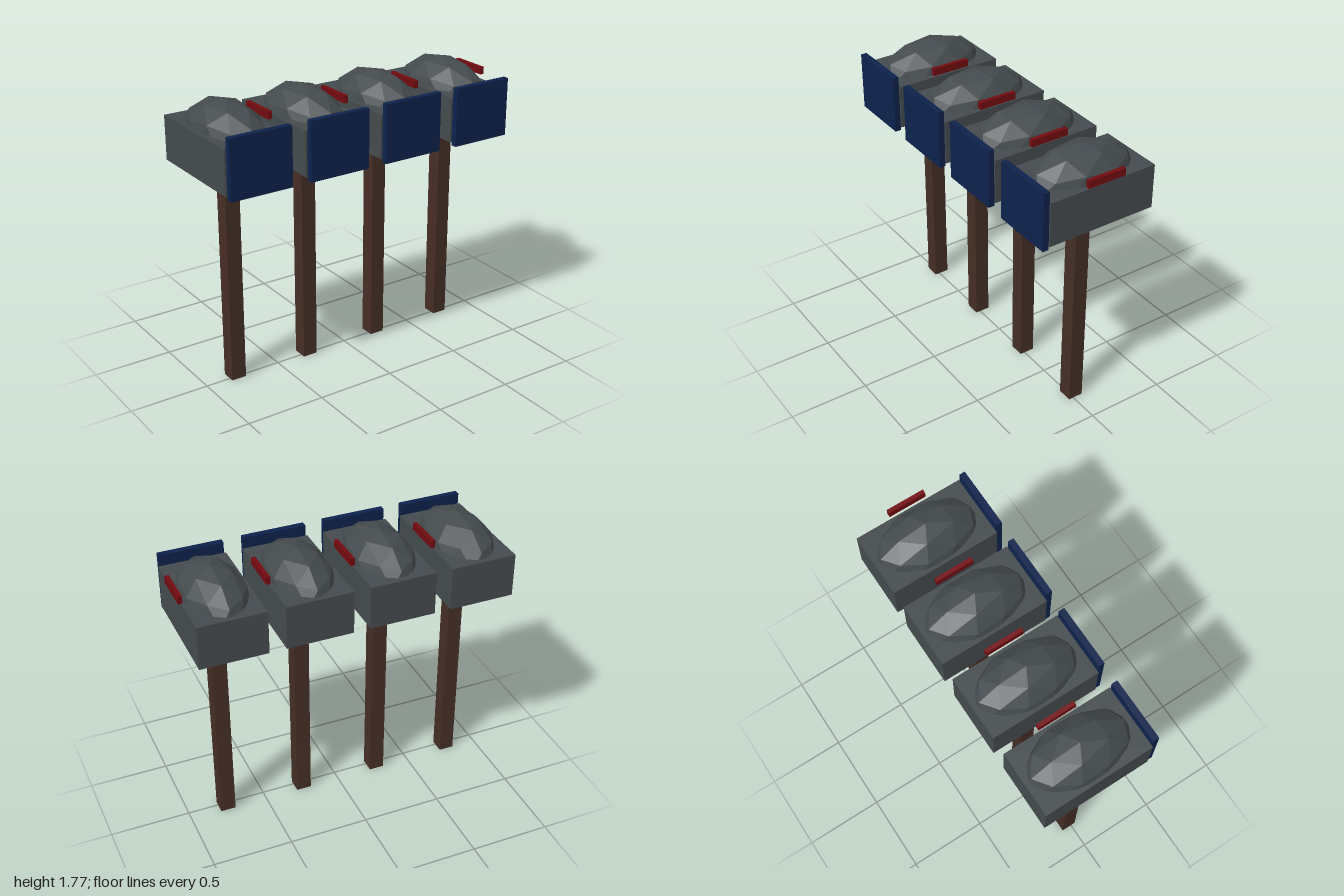
import * as THREE from 'three';

const SPACING = 0.517;
const material = (name, color) => {
  const m = new THREE.MeshStandardMaterial({ color });
  m.name = name;
  return m;
};

// Faceted ellipsoid with one vertex pointing straight up
function domeGeometry(rx, ry, rz) {
  const g = new THREE.IcosahedronGeometry(1, 1);
  g.rotateX(Math.atan((1 + Math.sqrt(5)) / 2));
  g.scale(rx, ry, rz);
  g.computeVertexNormals(); // unshared vertices give flat facets
  return g;
}

export function createModel() {
  const grey = material('slate grey', 0x444a4d);
  const navy = material('navy blue', 0x0d224b);
  const brown = material('dark wood', 0x452e25);
  const red = material('dark red', 0x720b0f);

  // name, geometry, material, position relative to the box centre line
  const parts = [
    ['post', new THREE.BoxGeometry(0.095, 1.35, 0.095), brown, [0, 0.675, -0.018]],
    ['box', new THREE.BoxGeometry(0.413, 0.275, 0.7), grey, [0, 1.4825, -0.02]],
    ['domedLid', domeGeometry(0.208, 0.213, 0.347), grey, [0, 1.56, -0.02]],
    ['frontDoor', new THREE.BoxGeometry(0.395, 0.365, 0.038), navy, [0.002, 1.507, 0.351]],
    ['flag', new THREE.BoxGeometry(0.026, 0.046, 0.245), red, [0.221, 1.667, -0.02]],
  ];

  // Row of four identical mailboxes
  const model = new THREE.Group();
  model.name = 'mailboxRow';
  for (let i = 0; i < 4; i++) {
    const mailbox = new THREE.Group();
    mailbox.name = `mailbox${i + 1}`;
    mailbox.position.x = -0.793 + i * SPACING;
    for (const [name, geometry, mat, position] of parts) {
      const mesh = new THREE.Mesh(geometry, mat);
      mesh.name = name;
      mesh.position.set(...position);
      mailbox.add(mesh);
    }
    model.add(mailbox);
  }
  return model;
}
